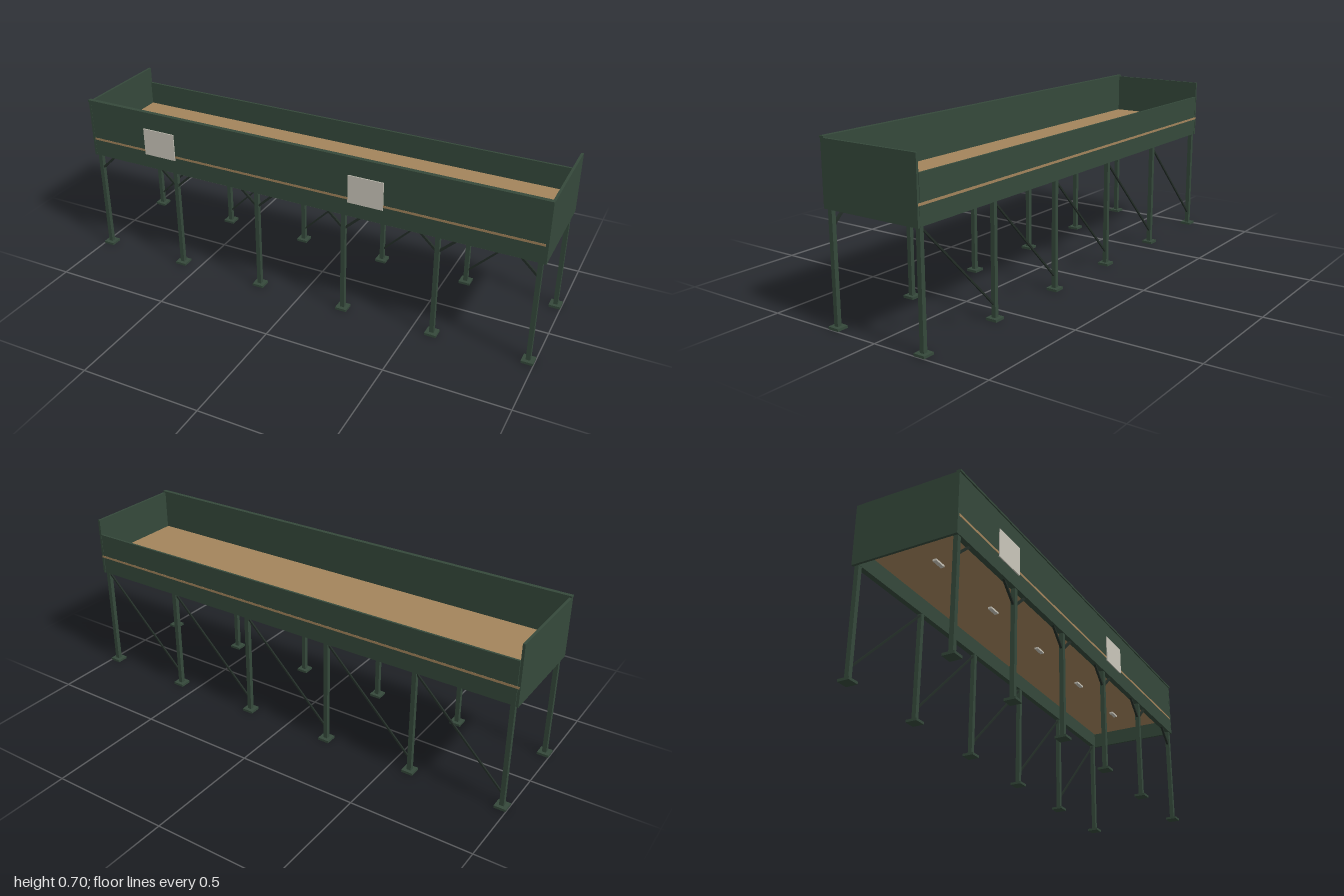
import * as THREE from 'three';

const paint = (name, color) => {
  const m = new THREE.MeshStandardMaterial({ color });
  m.name = name;
  return m;
};

export function createModel() {
  const green = paint('green steel', 0x35493b);
  const dark = paint('dark rod', 0x232d27);
  const timber = paint('timber', 0xa3845c);
  const pale = paint('pale panel', 0xcbc7bb);

  const model = new THREE.Group();
  model.name = 'raisedPlatform';

  // box given by its lower and upper bounds
  const box = (name, mat, [x0, x1], [y0, y1], [z0, z1]) => {
    const mesh = new THREE.Mesh(new THREE.BoxGeometry(x1 - x0, y1 - y0, z1 - z0), mat);
    mesh.position.set((x0 + x1) / 2, (y0 + y1) / 2, (z0 + z1) / 2);
    mesh.name = name;
    model.add(mesh);
  };
  // square bar running between two points in an x-y plane
  const bar = (name, mat, x0, y0, x1, y1, z, t) => {
    const mesh = new THREE.Mesh(new THREE.BoxGeometry(Math.hypot(x1 - x0, y1 - y0), t, t), mat);
    mesh.position.set((x0 + x1) / 2, (y0 + y1) / 2, z);
    mesh.rotation.z = Math.atan2(y1 - y0, x1 - x0);
    mesh.name = name;
    model.add(mesh);
  };

  // deck, its edges just showing through the long sides
  box('deck', timber, [-0.985, 0.985], [0.517, 0.531], [-0.21, 0.21]);
  for (const s of [-1, 1]) {
    const z = [s * 0.214, s * 0.2175].sort((a, b) => a - b);
    box('deckEdge', timber, [-0.994, 0.994], [0.521, 0.531], z);
  }

  // long walls, bearers and end panels
  box('frontWall', green, [-0.995, 0.995], [0.449, 0.697], [0.208, 0.217]);
  box('backWall', green, [-0.985, 0.985], [0.51, 0.63], [-0.217, -0.208]);
  box('frontBearer', green, [-0.985, 0.985], [0.45, 0.515], [0.194, 0.209]);
  box('backBearer', green, [-0.985, 0.985], [0.45, 0.517], [-0.216, -0.194]);
  box('topRail', green, [-0.997, 0.997], [0.697, 0.705], [0.204, 0.222]);
  for (const s of [-1, 1]) {
    const x = [s * 0.987, s * 0.997].sort((a, b) => a - b);
    box('endPanel', green, x, [0.448, 0.698], [-0.217, 0.218]);
  }

  // pale panels on the front
  for (const x of [-0.649, 0.29]) {
    box('frontPlate', pale, [x - 0.074, x + 0.074], [0.51, 0.628], [0.217, 0.221]);
  }

  // posts on base plates
  const posts = [-0.975, -0.585, -0.195, 0.195, 0.585, 0.975];
  for (const x of posts) {
    for (const z of [-0.204, 0.204]) {
      box('post', green, [x - 0.009, x + 0.009], [0.009, 0.452], [z - 0.009, z + 0.009]);
      box('basePlate', green, [x - 0.024, x + 0.024], [0, 0.01], [z - 0.024, z + 0.024]);
    }
    // knee braces under the front bearer
    for (const s of [-1, 1]) {
      if (Math.abs(x + s * 0.1) < 0.98) {
        bar('kneeBrace', dark, x, 0.38, x + s * 0.08, 0.455, 0.204, 0.009);
      }
    }
  }

  // one diagonal rod and one lamp per bay
  for (let i = 0; i < 5; i++) {
    bar('diagonalRod', dark, posts[i], 0.055, posts[i + 1], 0.45, -0.204, 0.007);
    const mid = (posts[i] + posts[i + 1]) / 2;
    box('underLamp', pale, [mid - 0.027, mid + 0.027], [0.509, 0.518], [-0.008, 0.008]);
  }

  return model;
}
